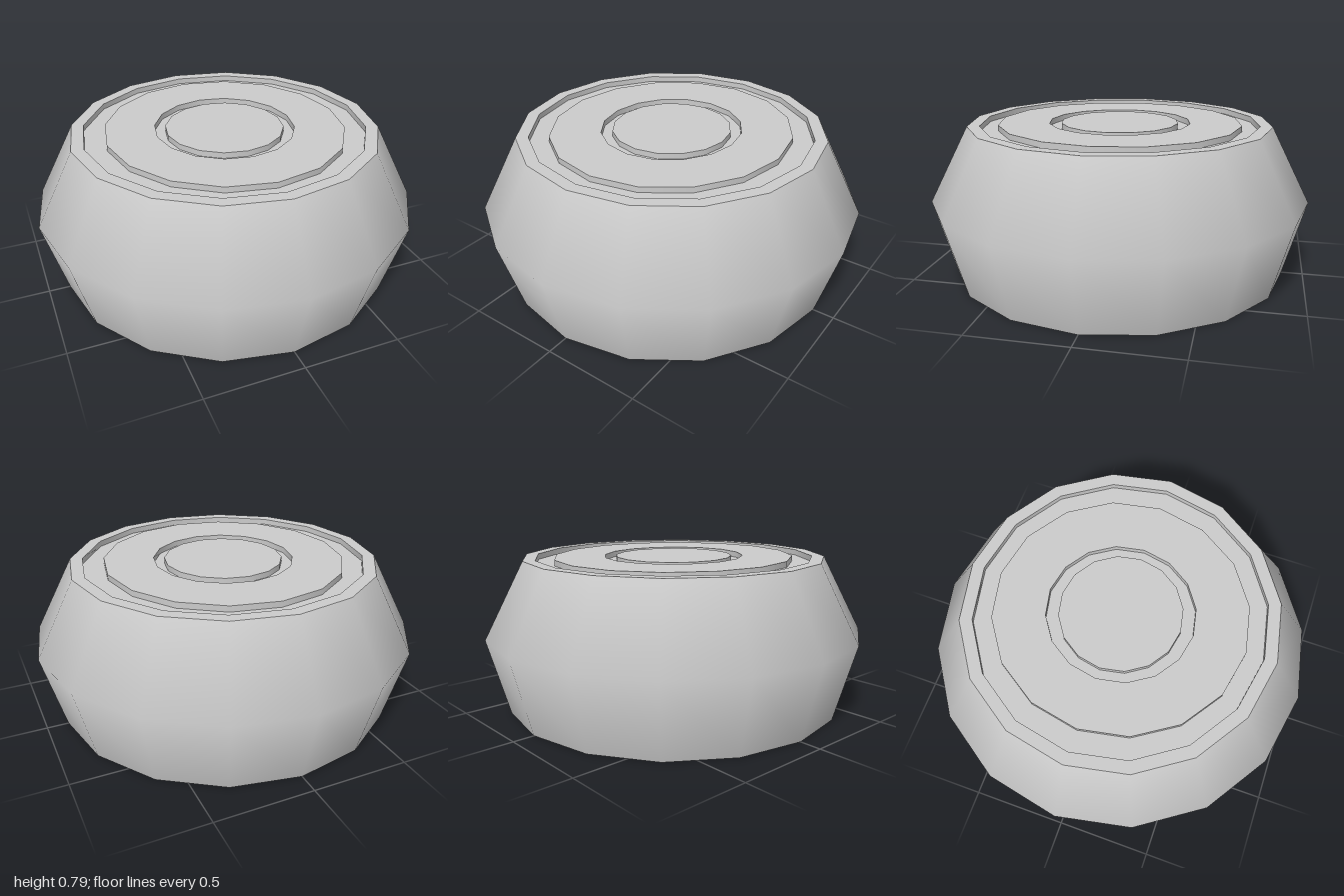
import * as THREE from 'three';

const SIDES = 16;
const material = new THREE.MeshStandardMaterial({ color: 0xcccccc });

// Skin through a run of rings [radius, height, x stretch], smooth along the run,
// listed so that the outside lies to the right of the path.
function band(name, rings) {
  const geo = new THREE.LatheGeometry(rings.map(([r, y]) => new THREE.Vector2(r, y)), SIDES);
  const pos = geo.attributes.position;
  for (let i = 0; i < pos.count; i++) {
    pos.setX(i, pos.getX(i) * (rings[i % rings.length][2] ?? 1));
  }
  const mesh = new THREE.Mesh(geo, material);
  mesh.name = name;
  return mesh;
}

export function createModel() {
  const group = new THREE.Group();
  group.name = 'roundCushion';

  const top = 0.79, floor = 0.76;
  const discStretch = 0.966, buttonStretch = 0.99;

  // Body: flat base and bulging side
  group.add(band('base', [[0, 0], [0.89, 0]]));
  group.add(band('side', [[0.89, 0], [1, 0.4], [0.797, top]]));

  // Top face from the rim inwards, each run kept separate for sharp edges
  const steps = [
    ['rim', 0.797, top, 1],
    ['outerGrooveOuterWall', 0.733, top, 1],
    ['outerGrooveFloor', 0.733, floor, 1],
    ['outerGrooveInnerWall', 0.642, floor, discStretch],
    ['disc', 0.642, top, discStretch],
    ['innerGrooveOuterWall', 0.374, top, discStretch],
    ['innerGrooveFloor', 0.374, floor, discStretch],
    ['innerGrooveInnerWall', 0.31, floor, buttonStretch],
    ['button', 0.31, top, buttonStretch],
    ['centre', 0, top, 1],
  ];
  for (let i = 0; i < steps.length - 1; i++) {
    group.add(band(steps[i][0], [steps[i].slice(1), steps[i + 1].slice(1)]));
  }
  return group;
}
